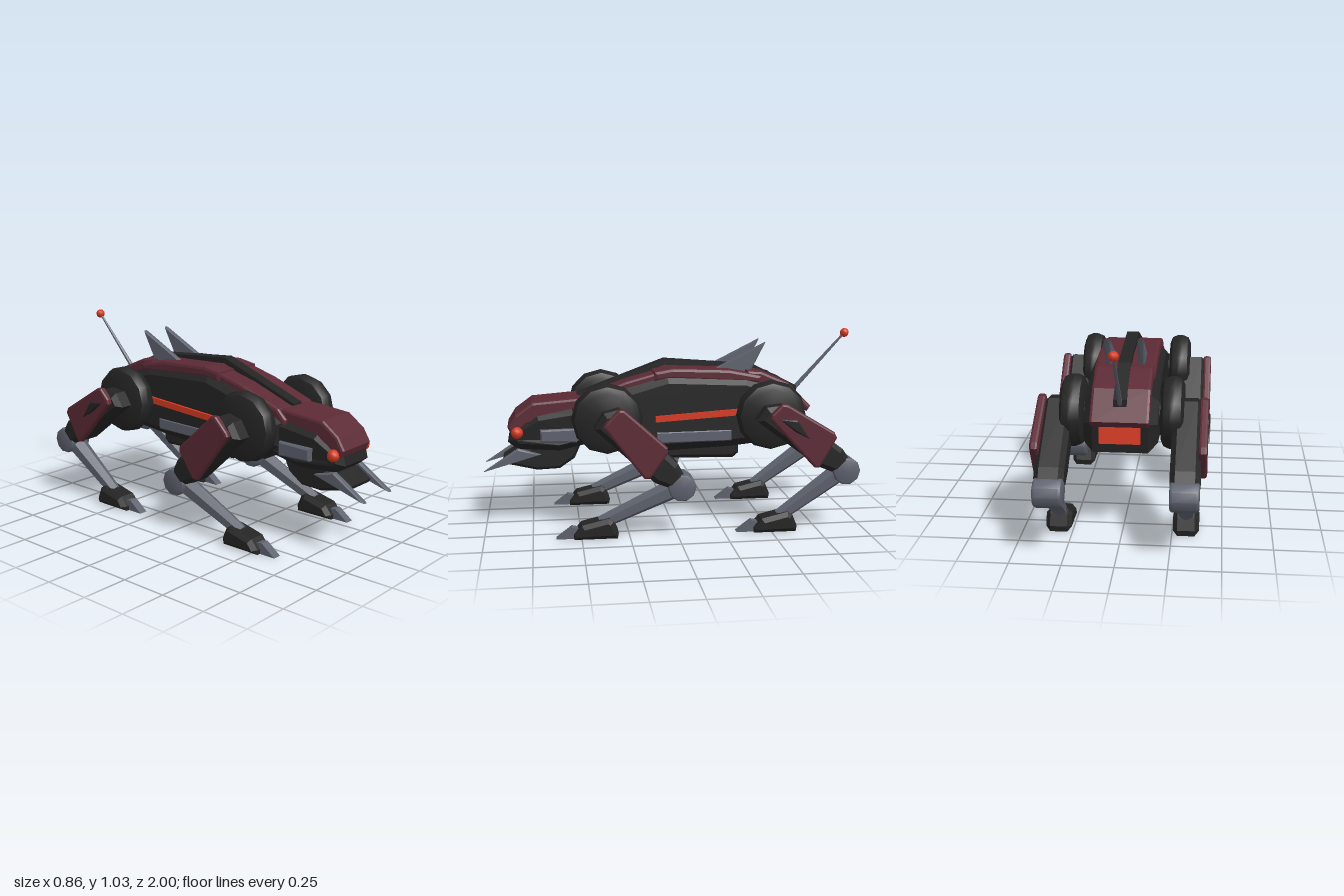
import * as THREE from 'three';
import { toCreasedNormals } from 'three/addons/utils/BufferGeometryUtils.js';

const mat = (name, color) => {
  const m = new THREE.MeshStandardMaterial({ color });
  m.name = name;
  return m;
};

export function createModel() {
  const dark = mat('charcoal', 0x242424);
  const maroon = mat('maroon', 0x5c2a35);
  const grey = mat('steelGrey', 0x5e626e);
  const red = mat('signalRed', 0xd63a22);
  const model = new THREE.Group();
  model.name = 'robotHound';

  const add = (parent, name, geo, material) => {
    const mesh = new THREE.Mesh(geo, material);
    mesh.name = name;
    parent.add(mesh);
    return mesh;
  };

  // Side profile of [z, y] points, extruded across x with bevelled edges
  const slab = (pts, width, bevel, x = 0, segments = 1) => {
    const shape = new THREE.Shape(pts.map(([z, y]) => new THREE.Vector2(z, y)));
    const depth = width - 2 * bevel;
    const geo = new THREE.ExtrudeGeometry(shape, {
      depth, bevelEnabled: bevel > 0, bevelSize: bevel, bevelThickness: bevel,
      bevelOffset: -bevel, bevelSegments: segments,
    });
    return geo.translate(0, 0, -depth / 2).rotateY(-Math.PI / 2).translate(x, 0, 0);
  };

  // Tapered flat-sided rod between two points
  const rod = (a, b, ra, rb, sides) => {
    const from = new THREE.Vector3(...a), to = new THREE.Vector3(...b);
    const dir = to.clone().sub(from);
    const geo = new THREE.CylinderGeometry(rb, ra, dir.length(), sides).toNonIndexed();
    const q = new THREE.Quaternion().setFromUnitVectors(new THREE.Vector3(0, 1, 0), dir.normalize());
    geo.applyQuaternion(q).translate(...from.add(to).multiplyScalar(0.5).toArray());
    geo.computeVertexNormals();
    return geo;
  };

  // Wheel-like solid turned around the x axis
  const disc = (r, width, round, sides) => {
    const h = width / 2;
    const pts = [[0, -h], [r - round, -h], [r - round * 0.3, -h + round * 0.3], [r, -h + round],
      [r, h - round], [r - round * 0.3, h - round * 0.3], [r - round, h], [0, h]];
    const geo = new THREE.LatheGeometry(pts.map(p => new THREE.Vector2(...p)), sides);
    return toCreasedNormals(geo.rotateZ(Math.PI / 2), 0.7);
  };

  // Narrow the head towards the nose
  const taperNose = geo => {
    const p = geo.attributes.position;
    for (let i = 0; i < p.count; i++) {
      const t = THREE.MathUtils.clamp((p.getZ(i) - 0.6) / 0.28, 0, 1);
      p.setX(i, p.getX(i) * (1 - 0.2 * t));
    }
    geo.computeVertexNormals();
    return geo;
  };

  // Torso
  const torso = new THREE.Group();
  torso.name = 'torso';
  model.add(torso);
  add(torso, 'body', slab([[0.52, 0.5], [0.52, 0.64], [0.35, 0.73], [0.03, 0.82], [-0.4, 0.8], [-0.62, 0.73],
    [-0.72, 0.61], [-0.7, 0.46], [-0.3, 0.42], [0.2, 0.4], [0.4, 0.42]], 0.36, 0.045), dark);
  add(torso, 'belly', slab([[0.19, 0.45], [-0.37, 0.45], [-0.37, 0.37], [-0.34, 0.345], [0.14, 0.355], [0.19, 0.38]],
    0.2, 0.02), dark);
  add(torso, 'neckPlate', slab([[0.53, 0.65], [0.48, 0.7], [0.25, 0.785], [0.05, 0.838], [0.05, 0.79], [0.25, 0.73],
    [0.53, 0.61]], 0.29, 0.015, 0, 2), maroon);
  add(torso, 'backPlate', slab([[0.1, 0.835], [0, 0.852], [-0.3, 0.84], [-0.48, 0.805], [-0.48, 0.76], [0, 0.79],
    [0.1, 0.78]], 0.31, 0.018, 0, 2), maroon);
  add(torso, 'rumpPlate', slab([[-0.4, 0.83], [-0.48, 0.825], [-0.63, 0.76], [-0.755, 0.63], [-0.735, 0.6],
    [-0.6, 0.71], [-0.4, 0.78]], 0.29, 0.015, 0, 2), maroon);
  add(torso, 'spine', slab([[0.5, 0.71], [0.03, 0.885], [-0.46, 0.845], [-0.7, 0.725], [-0.7, 0.69], [-0.46, 0.81],
    [0.03, 0.855], [0.5, 0.67]], 0.064, 0), dark);
  const tailLight = add(torso, 'tailLight', new THREE.BoxGeometry(0.2, 0.085, 0.03), red);
  tailLight.position.set(0, 0.555, -0.715);
  tailLight.rotation.x = 0.13;

  // Antenna
  add(torso, 'antenna', rod([0, 0.69, -0.68], [0, 1.01, -0.973], 0.013, 0.006, 6), grey);
  const tip = add(torso, 'antennaTip', new THREE.SphereGeometry(0.025, 8, 6), red);
  tip.position.set(0, 1.01, -0.973);

  // Head
  const head = new THREE.Group();
  head.name = 'head';
  model.add(head);
  add(head, 'skull', taperNose(slab([[0.87, 0.47], [0.85, 0.54], [0.72, 0.62], [0.46, 0.66], [0.42, 0.46],
    [0.6, 0.42], [0.82, 0.43]], 0.31, 0.035)), dark);
  add(head, 'jaw', slab([[0.9, 0.37], [0.89, 0.35], [0.72, 0.31], [0.6, 0.315], [0.52, 0.37], [0.48, 0.46],
    [0.7, 0.45], [0.82, 0.42]], 0.2, 0.015), dark);
  add(head, 'headPlate', slab([[0.855, 0.515], [0.87, 0.55], [0.83, 0.615], [0.74, 0.68], [0.49, 0.7], [0.45, 0.65],
    [0.56, 0.61], [0.77, 0.56], [0.82, 0.515]], 0.246, 0.015, 0, 2), maroon);

  // Paired details on both flanks
  for (const s of [1, -1]) {
    const eye = add(head, 'eye', new THREE.SphereGeometry(0.032, 8, 6), red);
    eye.position.set(s * 0.133, 0.523, 0.82);
    add(head, 'fang', slab([[1, 0.315], [0.82, 0.435], [0.7, 0.4]], 0.035, 0.008, s * 0.113), grey);
    add(head, 'cheekPlate', slab([[0.7, 0.475], [0.7, 0.54], [0.51, 0.545], [0.51, 0.47]], 0.04, 0.008, s * 0.153), grey);
    add(torso, 'backFin', slab([[-0.51, 0.975], [-0.24, 0.84], [-0.42, 0.8]], 0.032, 0.008, s * 0.082), grey);
    add(torso, 'sideLight', slab([[0.095, 0.572], [0.095, 0.604], [-0.39, 0.636], [-0.39, 0.602]], 0.03, 0, s * 0.18), red);
    add(torso, 'sidePanel', slab([[0.09, 0.455], [0.09, 0.515], [-0.315, 0.52], [-0.315, 0.46]], 0.03, 0.006, s * 0.17), grey);
  }

  // Legs: joint centres and side profiles for front and rear pairs
  const legs = [
    { name: 'frontLeg', hip: 0.355, knee: [0.262, -0.02], foot: 0,
      thigh: [[0.43, 0.58], [0.38, 0.66], [0.3, 0.68], [0.0, 0.385], [-0.035, 0.32], [0.03, 0.255], [0.12, 0.29]],
      plate: [[0.385, 0.595], [0.375, 0.615], [0.305, 0.685], [0.28, 0.685], [0.06, 0.485], [0.058, 0.455],
        [0.15, 0.325], [0.18, 0.325]] },
    { name: 'rearLeg', hip: -0.51, knee: [0.322, -0.893], foot: -0.945,
      thigh: [[-0.41, 0.6], [-0.46, 0.67], [-0.55, 0.68], [-0.87, 0.44], [-0.91, 0.38], [-0.84, 0.31], [-0.74, 0.35]],
      plate: [[-0.47, 0.615], [-0.475, 0.64], [-0.53, 0.695], [-0.56, 0.692], [-0.81, 0.54], [-0.825, 0.51],
        [-0.735, 0.355], [-0.71, 0.355]] },
  ];
  for (const spec of legs) for (const s of [1, -1]) {
    const leg = new THREE.Group();
    leg.name = spec.name;
    model.add(leg);
    const x = s * 0.32, [ky, kz] = spec.knee, f = spec.foot;

    // Hip and thigh
    add(leg, 'hipDisc', disc(0.185, 0.113, 0.045, 12), dark).position.set(s * 0.245, 0.61, spec.hip);
    add(leg, 'hipAxle', disc(0.07, 0.12, 0.005, 10), dark).position.set(s * 0.18, 0.61, spec.hip);
    add(leg, 'thigh', slab(spec.thigh, 0.145, 0.025, x), dark);
    add(leg, 'thighPlate', slab(spec.plate, 0.042, 0.012, s * 0.4, 2), maroon);
    if (f) add(leg, 'thighRidge', slab([[-0.52, 0.615], [-0.61, 0.61], [-0.675, 0.51], [-0.6, 0.55]], 0.06, 0.008,
      s * 0.4), dark);

    // Knee, shin and foot
    add(leg, 'knee', disc(0.074, 0.14, 0.014, 10), grey).position.set(x, ky, kz);
    add(leg, 'shin', rod([x, ky, kz], [x, 0.075, 0.4 + f], 0.056, 0.036, 6), grey);
    add(leg, 'foot', slab([[0.54, 0], [0.54, 0.025], [0.5, 0.075], [0.36, 0.108], [0.335, 0.09], [0.31, 0.03],
      [0.315, 0]].map(([z, y]) => [z + f, y]), 0.13, 0.022, x), dark);
    add(leg, 'toeClaw', slab([[0.63 + f, 0], [0.55 + f, 0.06], [0.5 + f, 0.05], [0.5 + f, 0]], 0.048, 0, x), grey);
  }
  return model;
}
